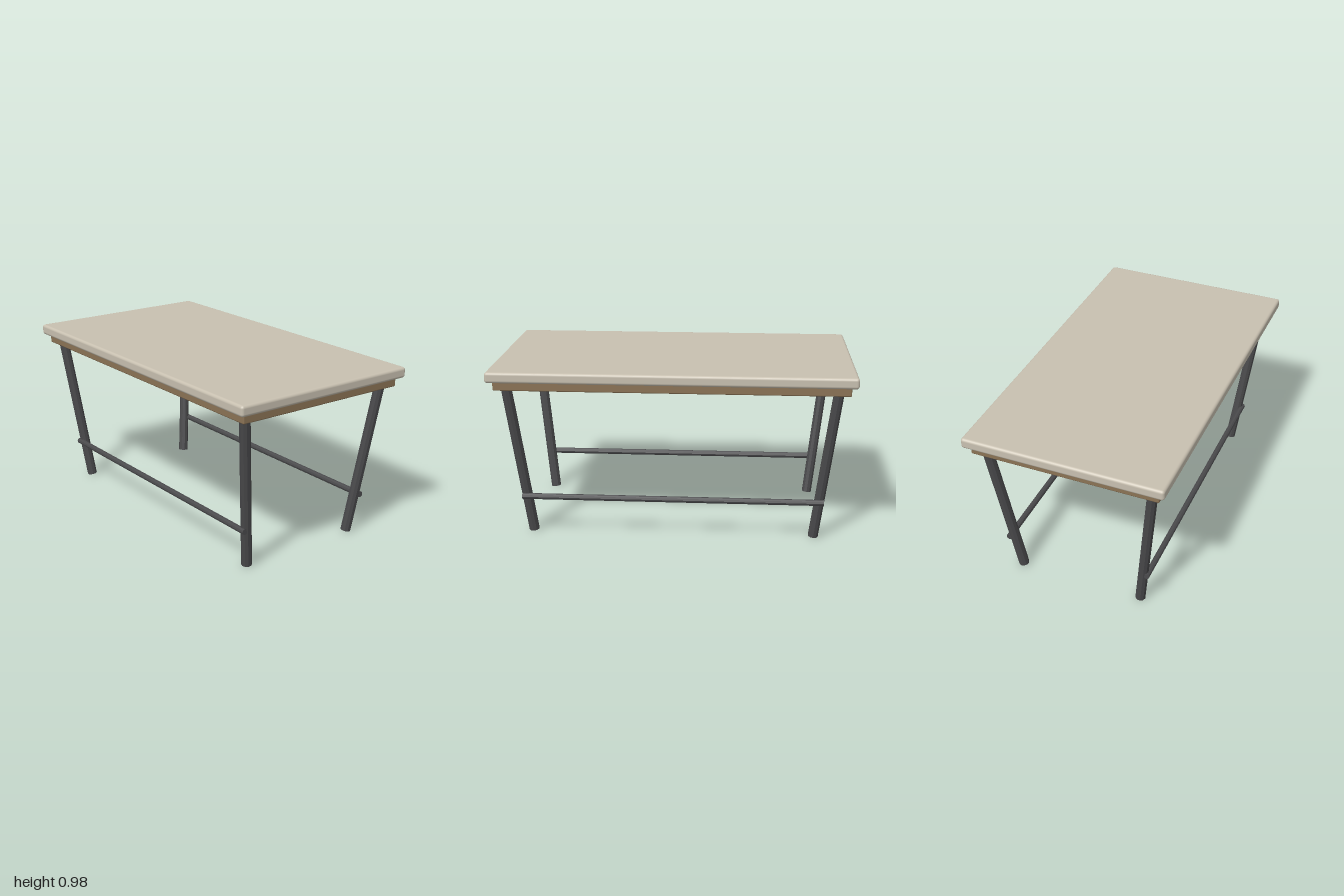
import * as THREE from 'three';
import { RoundedBoxGeometry } from 'three/addons/geometries/RoundedBoxGeometry.js';

export function createModel() {
  const table = new THREE.Group();
  table.name = 'table';

  const stone = new THREE.MeshStandardMaterial({ color: 0xc8c0b0 });
  const wood = new THREE.MeshStandardMaterial({ color: 0x8b7355 });
  const metal = new THREE.MeshStandardMaterial({ color: 0x4a4a4c, flatShading: true });

  const add = (name, geometry, material, x, y, z) => {
    const mesh = new THREE.Mesh(geometry, material);
    mesh.name = name;
    mesh.position.set(x, y, z);
    table.add(mesh);
    return mesh;
  };

  // Rounded slab and the narrower board beneath it
  add('tableTop', new RoundedBoxGeometry(2, 0.06, 1.12, 3, 0.016), stone, 0, 0.95, 0);
  add('underBoard', new RoundedBoxGeometry(1.93, 0.055, 1.045, 2, 0.007), wood, 0, 0.8975, 0);

  // A straight bar between two points
  const up = new THREE.Vector3(0, 1, 0);
  const bar = (name, from, to, radius) => {
    const dir = to.clone().sub(from);
    const mid = from.clone().add(to).multiplyScalar(0.5);
    const geometry = new THREE.CylinderGeometry(radius, radius, dir.length(), 10);
    const mesh = add(name, geometry, metal, mid.x, mid.y, mid.z);
    mesh.quaternion.setFromUnitVectors(up, dir.normalize());
  };

  for (const sz of [1, -1]) {
    const end = sz > 0 ? 'front' : 'back';
    // Legs splay outwards towards the top
    for (const sx of [1, -1]) {
      bar(end + (sx > 0 ? 'Left' : 'Right') + 'Leg',
        new THREE.Vector3(sx * 0.8, 0.005, sz * 0.36),
        new THREE.Vector3(sx * 0.904, 0.89, sz * 0.467), 0.029);
    }
    // Long rail on the outer side of each pair of legs
    bar(end + 'Rail',
      new THREE.Vector3(-0.85, 0.225, sz * 0.413),
      new THREE.Vector3(0.85, 0.225, sz * 0.413), 0.017);
  }

  return table;
}
